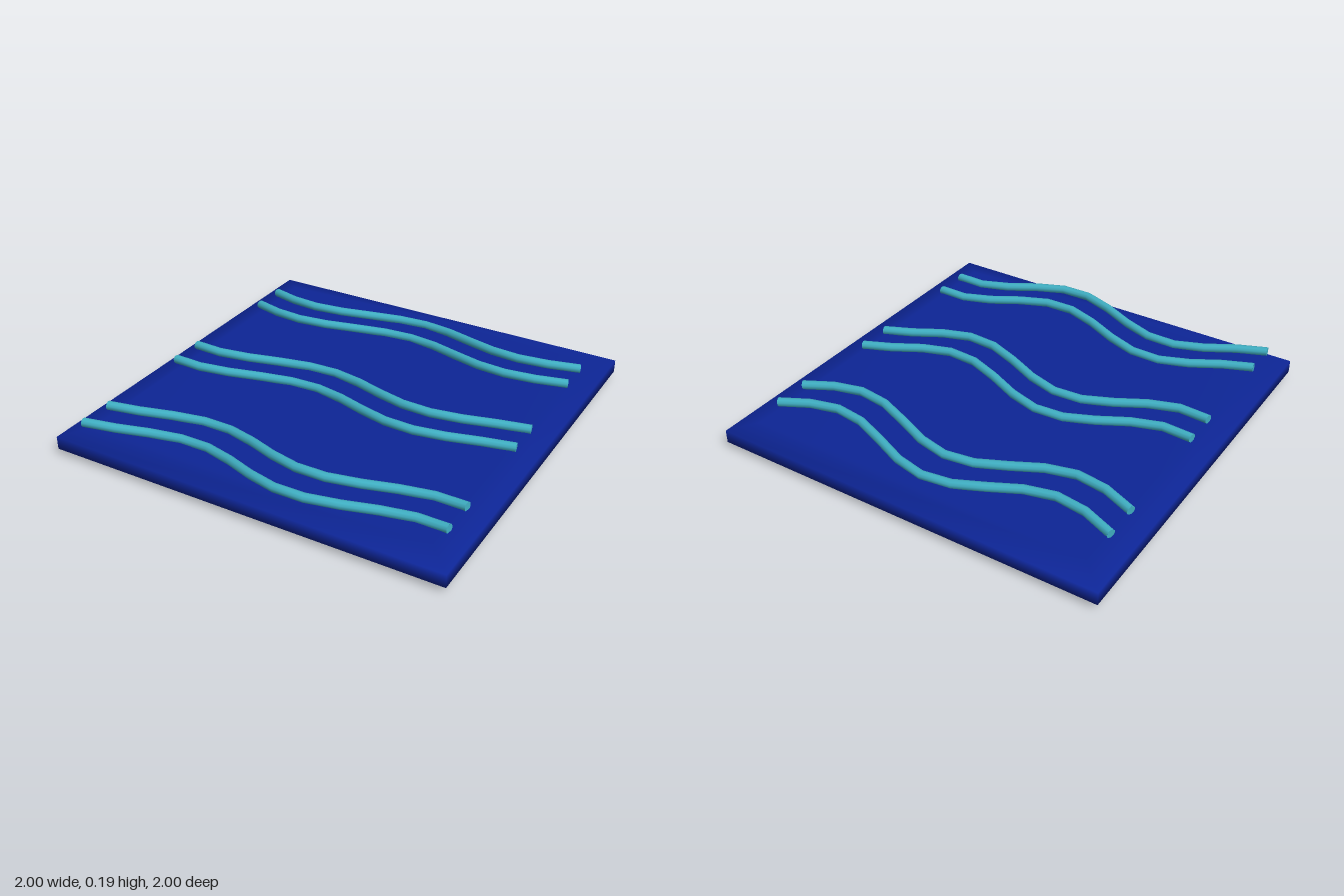
import * as THREE from 'three';

const deepBlue = new THREE.MeshStandardMaterial({ name: 'deepBlue', color: 0x0d2596 });
const teal = new THREE.MeshStandardMaterial({ name: 'teal', color: 0x40b0c4 });

// Square slab with long shallow bevels, built from four stacked square rings
function slabGeometry() {
  const rings = [[0.88, 0], [1, 0.03], [1, 0.095], [0.88, 0.12]];
  const corners = [[1, 1], [1, -1], [-1, -1], [-1, 1]];
  const positions = [];
  const index = [];
  for (const [half, y] of rings)
    for (const [x, z] of corners) positions.push(x * half, y, z * half);
  for (let r = 0; r < 3; r++) {
    for (let i = 0; i < 4; i++) {
      const a = r * 4 + i, b = r * 4 + ((i + 1) % 4);
      index.push(a, b, b + 4, a, b + 4, a + 4);
    }
  }
  index.push(0, 2, 1, 0, 3, 2); // underside
  index.push(12, 13, 14, 12, 14, 15); // top
  const geometry = new THREE.BufferGeometry();
  geometry.setAttribute('position', new THREE.Float32BufferAttribute(positions, 3));
  geometry.setIndex(index);
  geometry.computeVertexNormals();
  return geometry;
}

// Sine line across the slab, tilted so its front crests ride higher
class WaveCurve extends THREE.Curve {
  constructor(midZ, crestX) {
    super();
    this.midZ = midZ;
    this.crestX = crestX;
  }
  getPoint(t, target = new THREE.Vector3()) {
    const x = -0.9 + 1.8 * t;
    const swing = -0.08 * Math.cos((x - this.crestX) * Math.PI * 2 / 1.2);
    return target.set(x, 0.147 + 0.21 * swing, this.midZ + swing);
  }
  // Even steps in x rather than in arc length
  getUtoTmapping(u) {
    return u;
  }
}

function makeWave(midZ, crestX) {
  const radius = 0.022, sides = 10;
  const wave = new THREE.Group();
  wave.name = 'wave';
  const curve = new WaveCurve(midZ, crestX);
  const tube = new THREE.Mesh(new THREE.TubeGeometry(curve, 12, radius, sides), teal);
  tube.name = 'waveTube';
  wave.add(tube);
  // End caps
  for (const t of [0, 1]) {
    const cap = new THREE.Mesh(new THREE.CircleGeometry(radius, sides), teal);
    cap.name = 'waveEnd';
    cap.position.copy(curve.getPoint(t));
    const outward = curve.getTangent(t).multiplyScalar(t ? 1 : -1);
    cap.quaternion.setFromUnitVectors(new THREE.Vector3(0, 0, 1), outward);
    wave.add(cap);
  }
  return wave;
}

export function createModel() {
  const model = new THREE.Group();
  model.name = 'waterTile';

  const slab = new THREE.Mesh(slabGeometry(), deepBlue);
  slab.name = 'slab';
  model.add(slab);

  // Three pairs of waves, each pair shifted sideways from the last
  for (let row = 0; row < 3; row++)
    for (let line = 0; line < 2; line++)
      model.add(makeWave(-0.73 + 0.7 * row + 0.175 * line, -0.02 - 0.18 * row));

  return model;
}
